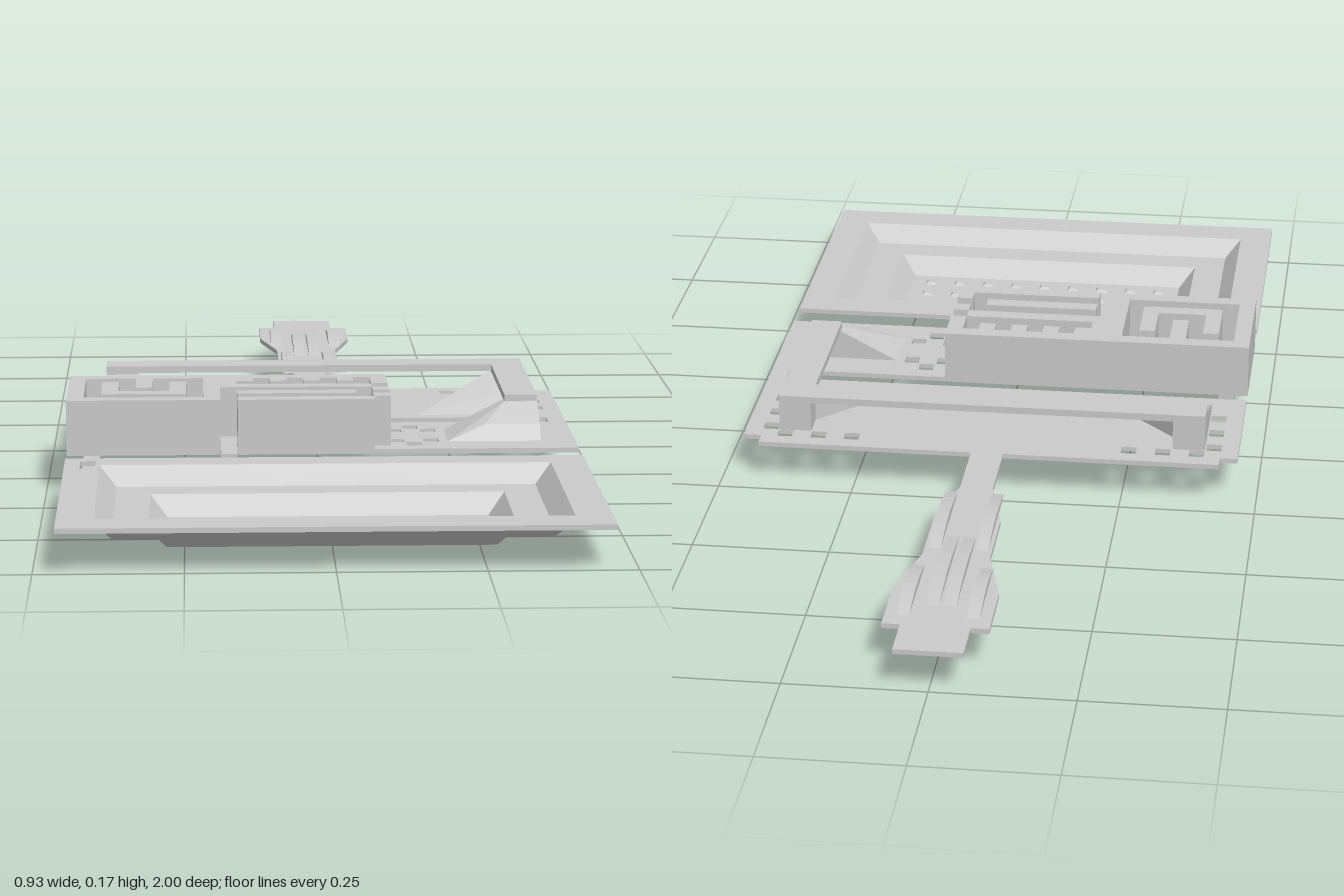
import * as THREE from 'three';
import { ConvexGeometry } from 'three/addons/geometries/ConvexGeometry.js';

const TOP = 0.077, THICK = 0.009, CELL = 0.0309;

export function createModel() {
  const model = new THREE.Group();
  const mat = new THREE.MeshStandardMaterial({ color: 0xcccccc, flatShading: true, side: THREE.DoubleSide });

  function add(name, geo, parent = model) {
    const mesh = new THREE.Mesh(geo, mat);
    mesh.name = name;
    parent.add(mesh);
    return mesh;
  }
  // Box given by its limits
  function box(name, x0, x1, y0, y1, z0, z1, parent) {
    const g = new THREE.BoxGeometry(x1 - x0, y1 - y0, z1 - z0);
    g.translate((x0 + x1) / 2, (y0 + y1) / 2, (z0 + z1) / 2);
    return add(name, g, parent);
  }
  const rect = (x0, x1, z0, z1) =>
    [[x0, z0], [x1, z0], [x1, z1], [x0, z1]].map(p => new THREE.Vector2(...p));
  // Flat sheet drawn in x/z with cut-outs
  function sheet(name, outline, holes = []) {
    const s = new THREE.Shape(outline.map(p => new THREE.Vector2(...p)));
    holes.forEach(h => s.holes.push(new THREE.Path(h)));
    const g = new THREE.ExtrudeGeometry(s, { depth: THICK, bevelEnabled: false });
    g.rotateX(Math.PI / 2).translate(0, TOP, 0);
    return add(name, g);
  }
  const hull = (name, pts) => add(name, new ConvexGeometry(pts.map(p => new THREE.Vector3(...p))));

  // Main plate: back and middle areas joined by a strip on one side, with square ports
  const ports = [];
  const port = (x, z) => ports.push(rect(x - 0.014, x + 0.014, z - 0.014, z + 0.014));
  for (const s of [-1, 1]) {
    for (const x of [0.26, 0.323, 0.386]) port(s * x, -0.165);
    for (const z of [-0.135, -0.07, -0.005]) port(s * 0.417, z);
  }
  for (const [x, z] of [[0.167, 0.175], [0.136, 0.207], [0.199, 0.207], [0.136, 0.298], [0.199, 0.298], [0.167, 0.33]]) port(x, z);
  sheet('mainPlate', [
    [-0.43, -0.21], [0.43, -0.21], [0.43, -0.18], [0.463, -0.18], [0.463, 0.375], [-0.463, 0.375],
    [-0.463, 0.13], [0.43, 0.13], [0.43, 0.09], [-0.463, 0.09], [-0.463, -0.18], [-0.43, -0.18],
  ], ports);
  box('outletTab', -0.185, -0.156, TOP - THICK, TOP, 0.37, 0.412);

  // Channel block: '#' is wall, '.' is channel
  const maze = [
    '###################',
    '#...#...###.#.#.#.#',
    '#.#.#.#.##........#',
    '#.#.#.#.##########.',
    '#.#...#.#.........#',
    '#.#####.#.#######..',
    '#.......#.........#',
    '#########.########.',
  ];
  const block = new THREE.Group();
  block.name = 'channelBlock';
  model.add(block);
  maze.forEach((row, r) => {
    for (const run of row.matchAll(/#+/g)) {
      const x = -0.463 + run.index * CELL, z = 0.13 + r * CELL * 0.991;
      box('channelWall', x, x + run[0].length * CELL, TOP - 0.003, 0.169, z, z + CELL * 0.991, block);
    }
  });

  // Raised bridges: one along the back, one running forward
  box('backBridge', -0.36, 0.36, 0.133, 0.146, -0.15, -0.09);
  box('sideBridge', 0.34, 0.4, 0.133, 0.146, -0.1, 0.22);
  // Posts with flared ramps beneath the bridges
  for (const s of [-1, 1]) {
    box('bridgePost', Math.min(s * 0.34, s * 0.4), Math.max(s * 0.34, s * 0.4), TOP, 0.146, -0.15, -0.09);
    hull('bridgeRamp', [
      [s * 0.4, TOP, -0.1], [s * 0.34, TOP, -0.1], [s * 0.4, 0.133, -0.1], [s * 0.34, 0.133, -0.1],
      [s * 0.4, 0.105, -0.01], [s * 0.34, 0.105, -0.01], [s * 0.4, TOP, 0.06], [s * 0.19, TOP, 0.06],
    ]);
  }
  // Foot of the forward bridge
  hull('bridgeFoot', [
    [0.4, TOP, 0.2], [0.4, TOP, 0.31], [0.23, TOP, 0.2], [0.23, TOP, 0.31],
    [0.4, 0.134, 0.2], [0.34, 0.134, 0.2], [0.4, 0.134, 0.225], [0.34, 0.134, 0.225],
    [0.4, 0.105, 0.29], [0.3, 0.105, 0.29],
  ]);

  // Tail strip
  const half = [[0.03, -0.2], [0.03, -0.36], [0.06, -0.49], [0.06, -0.64], [0.092, -0.78], [0.092, -0.91], [0.06, -0.91], [0.06, -1]];
  sheet('tail', [...half, ...half.map(([x, z]) => [-x, z]).reverse()]);
  // Low arched ridges on the tail: [x, start, end]
  for (const [x, a, b] of [[0.042, -0.38, -0.62], [0.015, -0.56, -0.84], [0.06, -0.68, -0.88]]) {
    for (const s of [-1, 1]) {
      const arc = new THREE.Shape();
      arc.moveTo(-a, TOP - 0.001);
      arc.quadraticCurveTo(-(a + b) / 2, TOP + 0.027, -b, TOP - 0.001);
      const g = new THREE.ExtrudeGeometry(arc, { depth: 0.022, bevelEnabled: false, curveSegments: 6 });
      g.translate(0, 0, -0.011).rotateY(Math.PI / 2).translate(s * x, 0, 0);
      add('tailRidge', g);
    }
  }

  // Tray rim with slot
  const trayZ = 0.715;
  sheet('trayRim', [[-0.463, 0.44], [0.463, 0.44], [0.463, 1], [-0.463, 1]],
    [rect(-0.4, 0.4, 0.5, 0.93), rect(-0.435, -0.408, 0.465, 0.525)]);
  // Stepped basin, inner and outer skins: [half width, half depth, height]
  const steps = [[0.4, 0.215, 0.068], [0.37, 0.185, 0.035], [0.31, 0.125, 0.035], [0.28, 0.095, 0]];
  function basin(name, lift, flip) {
    const pos = [];
    const corner = ([w, d, y], k) => [[-1, -1], [1, -1], [1, 1], [-1, 1]].map(([a, b]) => [a * w, y + lift, trayZ + b * d])[k % 4];
    const quad = (a, b, c, d) => (flip ? [a, b, c, a, c, d] : [a, c, b, a, d, c]).forEach(p => pos.push(...p));
    for (let i = 0; i < 3; i++)
      for (let k = 0; k < 4; k++)
        quad(corner(steps[i], k), corner(steps[i], k + 1), corner(steps[i + 1], k + 1), corner(steps[i + 1], k));
    quad(...[0, 1, 2, 3].map(k => corner(steps[3], k)));
    const g = new THREE.BufferGeometry();
    g.setAttribute('position', new THREE.Float32BufferAttribute(pos, 3));
    g.computeVertexNormals();
    add(name, g);
  }
  basin('basinInside', THICK, false);
  basin('basinOutside', 0, true);
  // Shallow studs on the basin floor
  for (let i = 0; i < 9; i++)
    for (let j = 0; j < 3; j++) {
      const g = new THREE.CylinderGeometry(0.01, 0.018, 0.005, 4);
      g.rotateY(Math.PI / 4).translate((i - 4) * 0.06, THICK + 0.002, trayZ + (j - 1) * 0.06);
      add('basinStud', g);
    }

  // Feed channel under the plates, rising into the tray
  box('feedPost', -0.435, -0.405, 0.028, TOP - THICK, 0.16, 0.19);
  box('feedChannel', -0.435, -0.405, 0.03, 0.046, 0.18, 0.45);
  hull('feedRise', [
    [-0.435, 0.03, 0.44], [-0.405, 0.03, 0.44], [-0.435, 0.046, 0.44], [-0.405, 0.046, 0.44],
    [-0.435, 0.046, 0.53], [-0.385, 0.046, 0.53], [-0.435, 0.058, 0.53], [-0.385, 0.058, 0.53],
  ]);
  return model;
}
